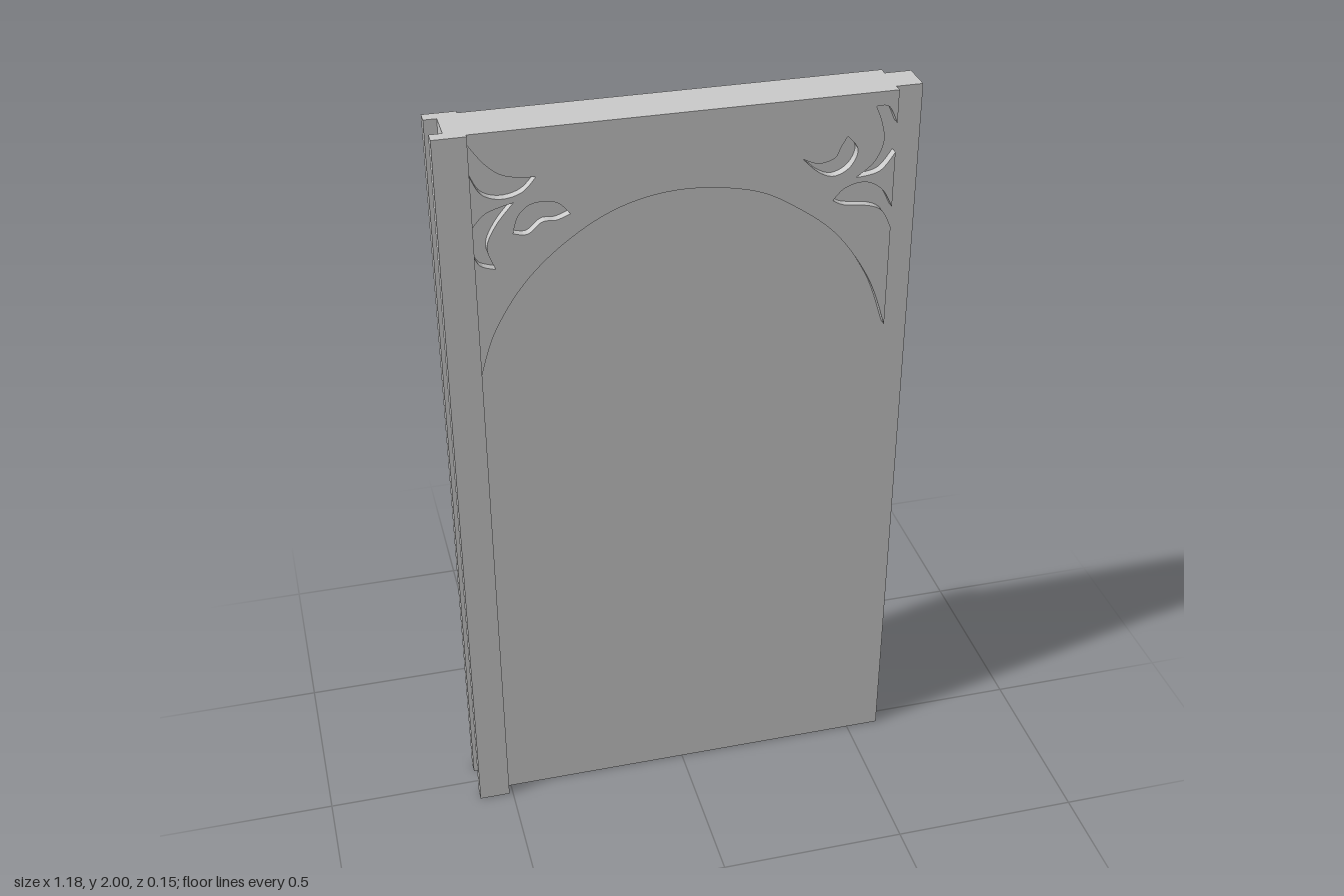
import * as THREE from 'three';
import { toCreasedNormals } from 'three/addons/utils/BufferGeometryUtils.js';

const CORE = 0.042, FRET = 0.064, POST = 0.074; // half thicknesses
const LEFT = -0.51, RIGHT = 0.523;

const vec = (pts) => pts.map(([x, y]) => new THREE.Vector2(x, y));

// Draws a line to the first run's start, then a smooth curve through each run;
// sharp leaf tips are where one run ends and the next begins.
function addRuns(path, runs) {
  runs.forEach((run, i) => {
    if (i === 0) path.lineTo(...run[0]);
    path.splineThru(vec(run.slice(1)));
  });
}

function leafHole(runs) {
  const hole = new THREE.Path();
  hole.moveTo(...runs[0][0]);
  runs.forEach((run, i) => hole.splineThru(vec(i === 0 ? run.slice(1) : run)));
  return hole;
}

export function createModel() {
  const group = new THREE.Group();
  const material = new THREE.MeshStandardMaterial({ color: 0xcccccc });
  const add = (name, geometry) => {
    const mesh = new THREE.Mesh(geometry, material);
    mesh.name = name;
    group.add(mesh);
  };

  // Panel with grooved post on one edge and a tongue on the other
  const half = [[0.59, CORE], [LEFT, CORE], [LEFT, POST], [-0.592, POST], [-0.592, CORE], [-0.56, CORE]];
  const section = [...half, ...half.map(([x, z]) => [x, -z]).reverse()];
  const panel = new THREE.ExtrudeGeometry(new THREE.Shape(vec(section)), { depth: 2, bevelEnabled: false });
  panel.rotateX(-Math.PI / 2);
  add('groovedPanel', panel);

  // Arched fretwork: outline with leaves cut open at both edges
  const fret = new THREE.Shape();
  fret.moveTo(LEFT, 1.365);
  fret.splineThru(vec([[-0.47, 1.485], [-0.39, 1.61], [-0.28, 1.71], [-0.15, 1.78], [0, 1.805],
    [0.17, 1.78], [0.29, 1.715], [0.39, 1.63], [0.475, 1.5], [RIGHT, 1.365]]));
  addRuns(fret, [
    [[RIGHT, 1.64], [0.5, 1.685], [0.465, 1.705], [0.4, 1.715], [0.37, 1.73]],
    [null, [0.4, 1.76], [0.45, 1.77], [0.495, 1.745], [RIGHT, 1.695]],
  ]);
  addRuns(fret, [
    [[RIGHT, 1.84], [0.485, 1.795], [0.425, 1.784]],
    [null, [0.47, 1.82], [0.492, 1.87], [0.485, 1.92], [0.468, 1.964]],
    [null, [0.5, 1.96], [RIGHT, 1.915]],
  ]);
  fret.lineTo(RIGHT, 2);
  fret.lineTo(LEFT, 2);
  addRuns(fret, [
    [[LEFT, 1.975], [-0.47, 1.92], [-0.425, 1.888], [-0.355, 1.878]],
    [null, [-0.39, 1.843], [-0.44, 1.832], [-0.485, 1.85], [LEFT, 1.9]],
  ]);
  addRuns(fret, [
    [[LEFT, 1.765], [-0.475, 1.8], [-0.41, 1.82]],
    [null, [-0.455, 1.765], [-0.478, 1.71], [-0.46, 1.652]],
    [null, [-0.495, 1.665], [LEFT, 1.69]],
  ]);
  fret.closePath();

  // Enclosed leaves
  fret.holes.push(
    leafHole([
      [[-0.415, 1.74], [-0.4, 1.785], [-0.365, 1.812], [-0.31, 1.808], [-0.277, 1.775]],
      [[-0.31, 1.763], [-0.345, 1.762], [-0.38, 1.735], [-0.415, 1.74]],
    ]),
    leafHole([
      [[0.29, 1.848], [0.33, 1.832], [0.37, 1.842], [0.385, 1.87], [0.4, 1.895]],
      [[0.427, 1.858], [0.41, 1.815], [0.37, 1.795], [0.33, 1.81], [0.29, 1.848]],
    ]),
  );

  // One fretwork layer on each face
  for (const [name, z] of [['frontFretwork', CORE], ['backFretwork', -FRET]]) {
    const geometry = new THREE.ExtrudeGeometry(fret, { depth: FRET - CORE, bevelEnabled: false, curveSegments: 6 });
    geometry.translate(0, 0, z);
    add(name, toCreasedNormals(geometry, 0.5));
  }
  return group;
}
